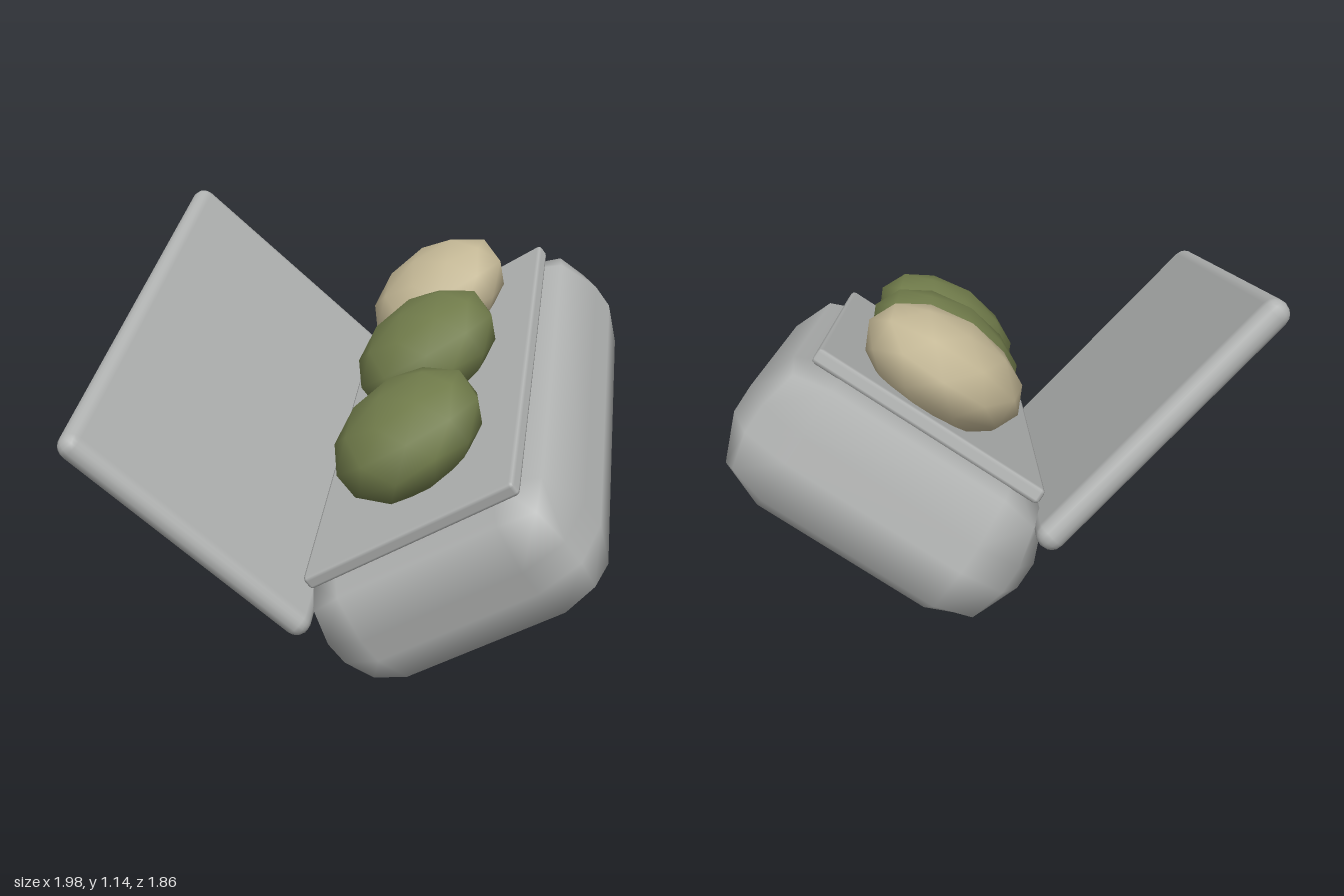
import * as THREE from 'three';
import { RoundedBoxGeometry } from 'three/addons/geometries/RoundedBoxGeometry.js';

const flat = (name, color) => {
  const m = new THREE.MeshStandardMaterial({ color });
  m.name = name;
  return m;
};

export function createModel() {
  const grey = flat('case grey', 0xb0b2b1);
  const green = flat('olive green', 0x717c4b);
  const cream = flat('cream', 0xc4b896);

  const model = new THREE.Group();
  model.name = 'openCase';

  // Tilted frame: x runs along the case, y out of the tray, z to its front edge
  const tilted = new THREE.Group();
  tilted.name = 'tiltedCase';
  const along = new THREE.Vector3(0.803, 0.244, -0.543).normalize();
  const front = new THREE.Vector3(0.335, 0.539, 0.773);
  const up = front.clone().cross(along).normalize();
  front.crossVectors(along, up);
  tilted.quaternion.setFromRotationMatrix(new THREE.Matrix4().makeBasis(along, up, front));
  tilted.position.set(0.145, 0.675, 0.145);
  model.add(tilted);

  const add = (name, geometry, material, x, y, z) => {
    const mesh = new THREE.Mesh(geometry, material);
    mesh.name = name;
    mesh.position.set(x, y, z);
    tilted.add(mesh);
    return mesh;
  };

  // Thick body with wide, coarse bevels
  add('body', new RoundedBoxGeometry(1.49, 0.44, 0.88, 1, 0.18), grey, 0, -0.235, 0);

  // Thin tray on the body
  add('tray', new RoundedBoxGeometry(1.28, 0.045, 0.69, 1, 0.012), grey, 0, -0.022, 0);

  // Lid opened a little past upright
  const lid = add('lid', new RoundedBoxGeometry(1.48, 0.87, 0.08, 2, 0.04), grey, 0, 0.313, -0.48);
  lid.rotation.x = -0.19;

  // Flattened balls in a row
  const ball = new THREE.IcosahedronGeometry(0.237, 1);
  [
    ['leftGreenBall', green, -0.331],
    ['middleGreenBall', green, 0.108],
    ['creamBall', cream, 0.439],
  ].forEach(([name, material, x]) => {
    add(name, ball, material, x, 0.1, 0.037).scale.set(1, 0.6, 1);
  });

  return model;
}
